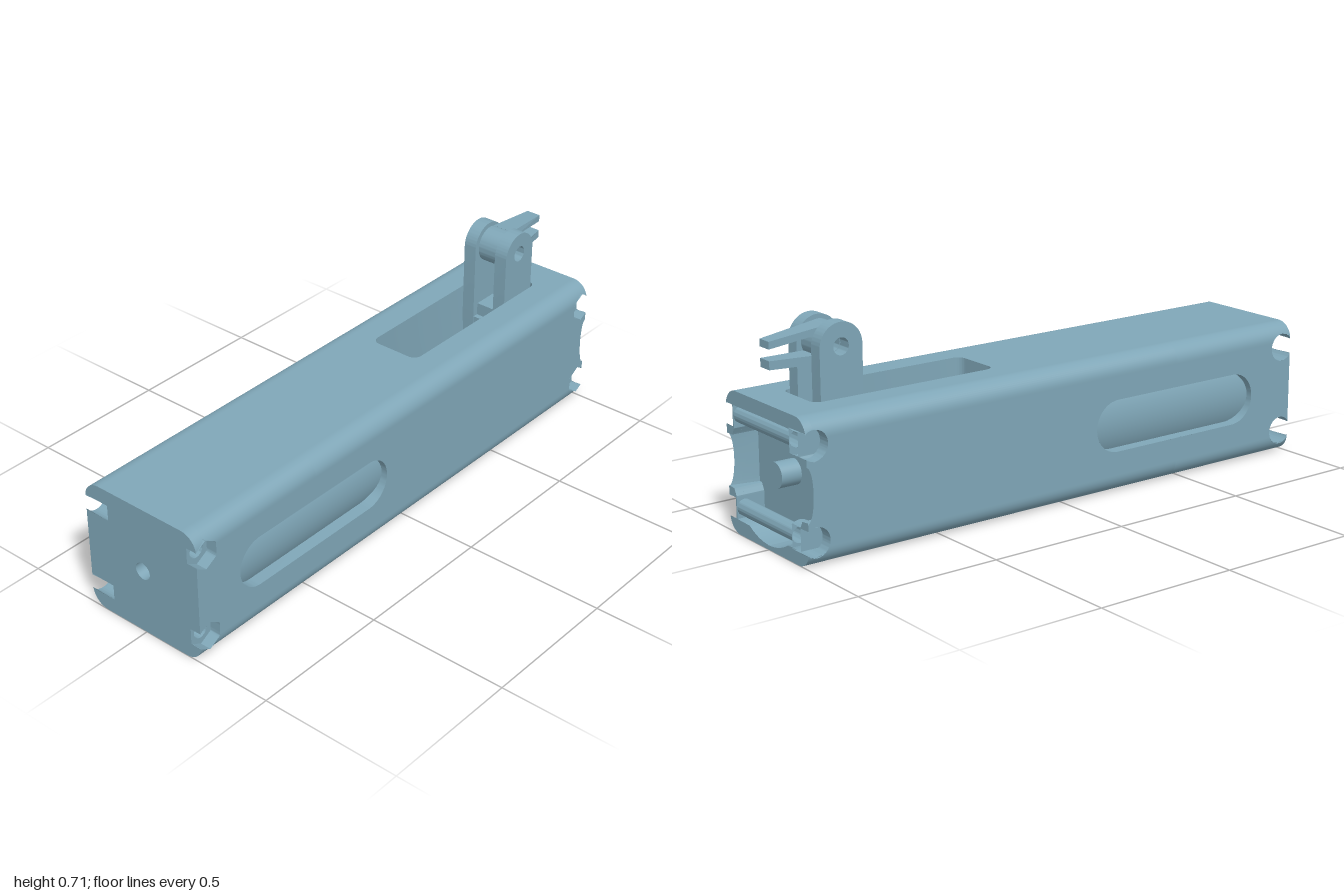
import * as THREE from 'three';
import { toCreasedNormals } from 'three/addons/utils/BufferGeometryUtils.js';

const C = 0.236, H = 0.235, R = 0.06, F = H - R;   // body axis height, half size, corner radius, flat half
const HOLE_Y = 0.152, XL = -0.96, XR = 0.972;      // bolt hole positions
const HEX = 0.052, BORE = 0.049, PIN = 0.0272;
const clamp = THREE.MathUtils.clamp;
const root = (v) => Math.sqrt(Math.max(0, v));

// Half widths of the openings at distance d from their centre line
const circle = (r) => (d) => root(r * r - d * d);
const hex = (d) => Math.max(0, Math.min(HEX * 0.866, (HEX - Math.abs(d)) * Math.sqrt(3)));
const slot = (half, w, r) => (d) => {
  const k = Math.abs(d) - (w - r);
  return Math.abs(d) >= w ? 0 : half - r + root(r * r - Math.max(0, k) ** 2);
};
const sideSlot = slot(0.35, 0.09, 0.09), topSlot = slot(0.34, 0.094, 0.03);
const SIDE_X = -0.467, TOP_X = 0.54;

// Front end edge, scooped on both side walls
const endX = (y) => 1 - 0.022 * root(1 - ((y - C) / 0.088) ** 2);

export function createModel() {
  const model = new THREE.Group();
  const mat = new THREE.MeshStandardMaterial({ color: 0x7fa6b7, side: THREE.DoubleSide });
  mat.name = 'blue grey';

  const add = (name, geo, x = 0, y = 0, z = 0) => {
    const mesh = new THREE.Mesh(geo, mat);
    mesh.name = name;
    mesh.position.set(x, y, z);
    model.add(mesh);
    return mesh;
  };

  // Surface from rows of points; points 0-1, 2-3, ... of each row bound a filled span
  const surface = (name, rows, crease) => {
    const n = rows[0].length, index = [];
    for (let j = 0; j < rows.length - 1; j++) for (let i = 0; i < n; i += 2) {
      const a = j * n + i, d = a + n;
      index.push(a, a + 1, d + 1, a, d + 1, d);
    }
    let geo = new THREE.BufferGeometry();
    geo.setAttribute('position', new THREE.Float32BufferAttribute(rows.flat(2), 3));
    geo.setIndex(index);
    if (crease) geo = toCreasedNormals(geo, 0.6);
    else geo.computeVertexNormals();
    return add(name, geo);
  };

  // Closed outline of an opening as [dx, d] pairs
  const outline = (half, w, n = 40) => {
    const pts = [];
    for (const s of [1, -1]) for (let i = 0; i <= n; i++) {
      const d = -s * w * Math.cos(Math.PI * i / n);
      pts.push([s * half(d * 0.99999), d]);
    }
    pts.push(pts[0]);
    return pts;
  };
  // Wall of an opening between two depths, left open where it breaks through an end
  const wall = (name, half, w, cx, place, d0, d1) => surface(name, outline(half, w).map(([dx, d]) => {
    const x = cx + dx, open = Math.abs(x) > 1, cut = clamp(x, -1, 1);
    return [place(cut, d, d0), place(cut, d, open ? d0 : d1)];
  }), true);

  // Outer skin of the body, row by row around its rounded square section
  const flat = [-0.0941, -0.0939, -0.0901, -0.0899, 0.0899, 0.0901, 0.0939, 0.0941];
  for (let i = 0; i <= 90; i++) flat.push(-F + 2 * F * i / 90);
  flat.sort((a, b) => a - b);
  const skin = [];
  const skinRow = (y, z) => {
    const d = Math.abs(y - C) - HOLE_Y;
    const hw = z > 0.15 ? hex(d) : z < -0.15 ? circle(BORE)(d) : 0;
    const side = Math.abs(z) > 0.2;
    const sw = side ? sideSlot(y - C) : y > 0.46 ? topSlot(z) : 0;
    const sx = side ? SIDE_X : TOP_X, xr = side ? endX(y) : 1;
    skin.push([-1, XL - hw, XL + hw, sx - sw, sx + sw, XR - hw, XR + hw, xr]
      .map((x) => [clamp(x, -1, xr), y, z]));
  };
  for (let k = 0; k < 4; k++) {
    const c = [1, 0, -1, 0][k], s = [0, 1, 0, -1][k];
    const put = (u, v) => skinRow(C + u * c + v * s, -u * s + v * c);
    flat.forEach((u) => put(u, H));
    for (let i = 1; i < 14; i++) {
      const t = i / 14 * Math.PI / 2;
      put(F + R * Math.sin(t), F + R * Math.cos(t));
    }
  }
  skin.push(skin[0]);
  surface('bodyShell', skin);

  // End faces, with the bolt pockets breaking through them
  const ys = Array.from({ length: 401 }, (_, i) => C - H + 2 * H * i / 400);
  const halfWidth = (y) => {
    const d = Math.abs(y - C) - F;
    return d > 0 ? F + root(R * R - d * d) : H;
  };
  const recess = (y) => {
    const d = Math.abs(y - C);
    if (d < 0.088) return H;
    if (y > C + 0.187) return 0;
    return Math.max(root(0.22 ** 2 - d * d), d < 0.187 ? 0.19 : 0);
  };
  const endFace = (name, x, cx, open) => surface(name, ys.map((y) => {
    const w = halfWidth(y), o = open(y), d = Math.abs(y - C) - HOLE_Y, gap = 1 - Math.abs(cx);
    const back = circle(BORE)(d) > gap ? Math.max(o, 0.14) : w;
    const front = hex(d) > gap ? Math.max(o, 0.195) : w;
    return [-back, -o, o, front].map((z) => [x, y, z]);
  }));
  endFace('rearEndFace', -1, XL, (y) => circle(0.03)(y - C));
  endFace('frontEndFace', 1, XR, recess);
  const rearHole = new THREE.CylinderGeometry(0.03, 0.03, 0.12, 32, 1, true).rotateZ(Math.PI / 2);
  add('rearHole', rearHole, -0.94, C);

  // Recess in the front end with a centre post
  for (const s of [1, -1]) surface('recessWall', ys.map((y) => {
    const o = recess(y);
    return [[endX(y), y, s * o], [0.9, y, s * Math.min(o, 0.215)]];
  }), true);
  surface('recessFloor', ys.map((y) => {
    const o = Math.min(recess(y), 0.215);
    return [[0.9, y, -o], [0.9, y, o]];
  }));
  add('centrePost', new THREE.CylinderGeometry(0.042, 0.042, 0.07, 40).rotateZ(Math.PI / 2), 0.935, C);

  // Bolt holes: hex pocket in front, round counterbore behind, sleeve between
  for (const cx of [XL, XR]) for (const s of [1, -1]) {
    const cy = C + s * HOLE_Y;
    const place = (x, d, z) => [x, cy + d, z];
    wall('hexPocket', hex, HEX, cx, place, H, 0.195);
    wall('counterbore', circle(BORE), BORE, cx, place, -H, -0.14);
    wall('boltSleeve', circle(PIN), PIN, cx, place, 0.195, -0.14);
    for (const [half, w, z] of [[hex, HEX, 0.195], [circle(BORE), BORE, -0.14]]) {
      const rows = [];
      for (let i = 0; i <= 60; i++) {
        const d = w * (i / 30 - 1), o = half(d), p = circle(PIN)(d);
        rows.push([-o, -p, p, o].map((dx) => [clamp(cx + dx, -1, 1), cy + d, z]));
      }
      surface('pocketFloor', rows);
    }
  }

  // Side slots over the round core
  for (const s of [1, -1]) {
    wall('sideSlotWall', sideSlot, 0.09, SIDE_X, (x, d, z) => [x, C + d, z], s * H, s * 0.185);
  }
  add('core', new THREE.CylinderGeometry(0.212, 0.212, 1.04, 72).rotateZ(Math.PI / 2), -0.36, C);

  // Top slot, its chamber and the spring
  wall('topSlotWall', topSlot, 0.094, TOP_X, (x, d, y) => [x, y, d], C + H, 0.15);
  add('chamberFloor', new THREE.BoxGeometry(0.66, 0.01, 0.186), TOP_X, 0.15);
  class Helix extends THREE.Curve {
    getPoint(t, out = new THREE.Vector3()) {
      const a = t * Math.PI * 2 * 17;
      return out.set(0.21 + 0.47 * t, C + 0.05 * Math.cos(a), 0.05 * Math.sin(a));
    }
  }
  add('spring', new THREE.TubeGeometry(new Helix(), 408, 0.009, 8, false));
  add('springRod', new THREE.CylinderGeometry(0.028, 0.028, 0.5, 24).rotateZ(Math.PI / 2), 0.45, C);

  // Sliding carriage with two pierced ears
  const PX = 0.777, PY = 0.632;
  const extrude = (shape, depth) => new THREE.ExtrudeGeometry(shape, { depth, bevelEnabled: false, curveSegments: 32 });
  const pierce = (shape) => {
    shape.holes.push(new THREE.Path().absarc(0, 0, 0.028, 0, Math.PI * 2, true));
    return shape;
  };
  add('carriage', new THREE.BoxGeometry(0.15, 0.21, 0.176), PX, 0.26);
  add('carriageBridge', new THREE.BoxGeometry(0.09, 0.05, 0.09), PX - 0.01, 0.385);
  const ear = new THREE.Shape().moveTo(-0.077, -0.3).lineTo(0.077, -0.3).lineTo(0.077, 0);
  ear.absarc(0, 0, 0.077, 0, Math.PI, false).lineTo(-0.077, -0.3);
  const earGeo = toCreasedNormals(extrude(pierce(ear), 0.048), 0.6);
  for (const z of [0.042, -0.09]) add('ear', earGeo, PX, PY, z);

  // Lever hub and its two tapering prongs
  const hub = pierce(new THREE.Shape().absarc(0, 0, 0.063, 0, Math.PI * 2, false));
  add('leverHub', toCreasedNormals(extrude(hub, 0.078), 0.6), PX, PY, -0.039);
  const prongs = [
    [[0.02, 0.06], [0.223, 0.038], [0.223, 0.014], [0.05, 0.034]],
    [[0.045, -0.03], [0.223, -0.022], [0.223, -0.05], [0.02, -0.06]],
  ];
  for (const pts of prongs) {
    const geo = extrude(new THREE.Shape(pts.map((p) => new THREE.Vector2(...p))), 0.078);
    const pos = geo.attributes.position;
    for (let i = 0; i < pos.count; i++) {
      if (pos.getX(i) > 0.2 && pos.getZ(i) > 0.04) pos.setZ(i, 0.052);
    }
    geo.computeVertexNormals();
    add('leverProng', geo, PX, PY, -0.039);
  }
  return model;
}
